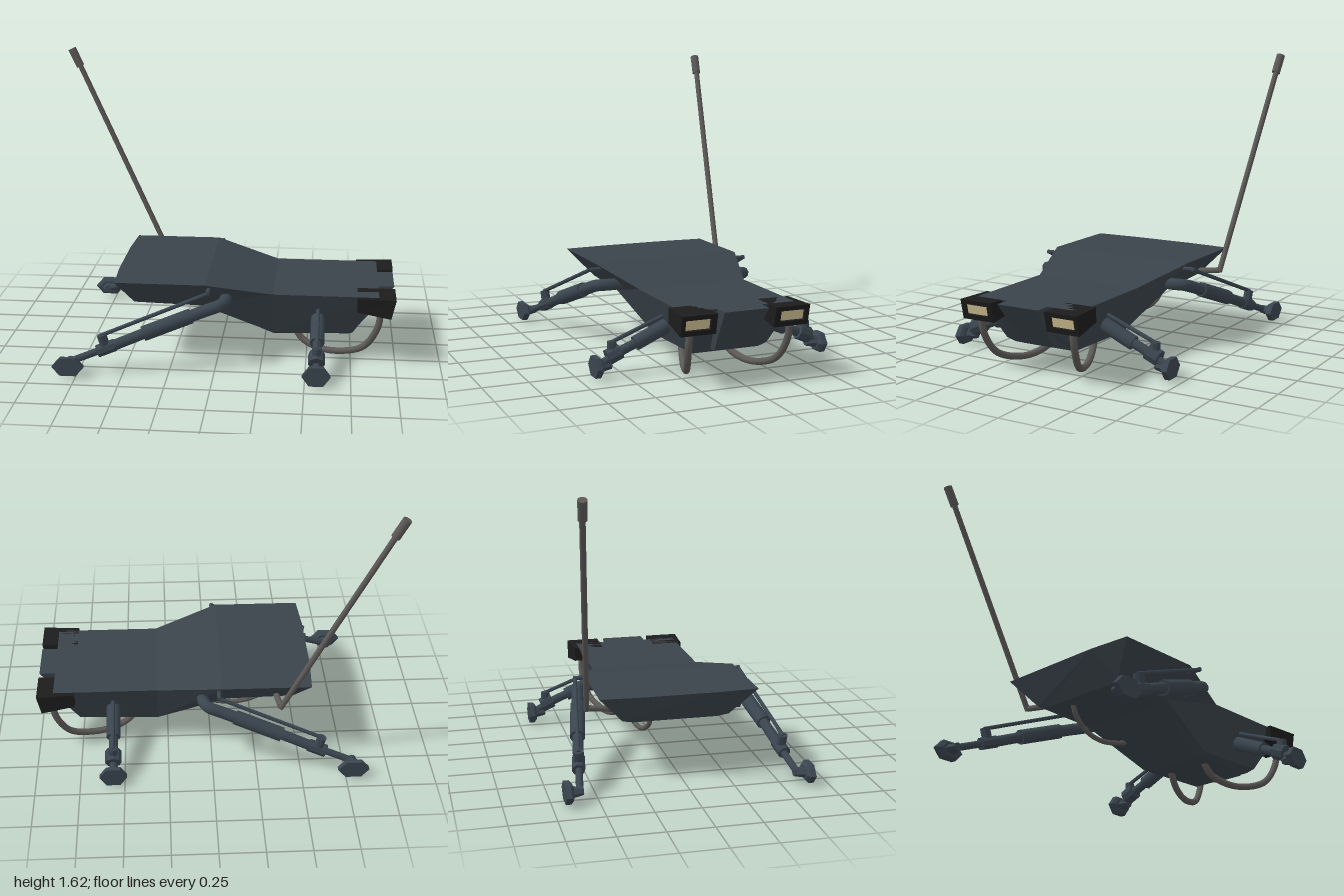
import * as THREE from 'three';
import { ConvexGeometry } from 'three/addons/geometries/ConvexGeometry.js';

const V = (p) => new THREE.Vector3(...p);
const mat = (color, flatShading = false) => new THREE.MeshStandardMaterial({ color, flatShading });
const HULL = mat(0x3a434a, true);
const STEEL = mat(0x3a454f);
const STEEL_FLAT = mat(0x3a454f, true);
const CABLE = mat(0x5c5957);
const BLACK = mat(0x1c1c1c, true);
const LENS = mat(0xd2c193);

function add(parent, name, geometry, material) {
  const mesh = new THREE.Mesh(geometry, material);
  mesh.name = name;
  parent.add(mesh);
  return mesh;
}

// Cylinder running from point a to point b
function rod(parent, name, a, b, r, material = STEEL, sides = 12, r2 = r) {
  const from = V(a), to = V(b), dir = to.clone().sub(from);
  const mesh = add(parent, name, new THREE.CylinderGeometry(r2, r, dir.length(), sides), material);
  mesh.position.copy(from).add(to).multiplyScalar(0.5);
  mesh.quaternion.setFromUnitVectors(new THREE.Vector3(0, 1, 0), dir.normalize());
  return mesh;
}

function tube(parent, name, points, r, material) {
  const curve = new THREE.CatmullRomCurve3(points.map(V));
  return add(parent, name, new THREE.TubeGeometry(curve, 32, r, 10), material);
}

// Hull lofted through four rings: each has top, lower and bottom [x, y, half width]
function hullGeometry() {
  const stations = [
    [[-0.562, 0.48, 0.443], [-0.475, 0.32, 0.3], [-0.46, 0.305, 0.24]],
    [[-0.06, 0.48, 0.443], [-0.09, 0.31, 0.3], [-0.09, 0.295, 0.24]],
    [[0.31, 0.395, 0.32], [0.31, 0.135, 0.23], [0.31, 0.115, 0.19]],
    [[0.9, 0.395, 0.32], [0.76, 0.15, 0.23], [0.74, 0.128, 0.19]],
  ];
  const rings = stations.map(([t, l, b], i) => {
    const bow = i === 0 ? 0.014 : 0;
    const half = [[t[0] - bow, t[1], 0.2], t, l, b];
    return [...half, ...half.map(([x, y, z]) => [x, y, -z]).reverse()];
  });
  const n = rings[0].length, index = [];
  for (let i = 0; i < rings.length - 1; i++) {
    for (let j = 0; j < n; j++) {
      const a = i * n + j, b = i * n + (j + 1) % n;
      index.push(a, b, a + n, b, b + n, a + n);
    }
  }
  const last = (rings.length - 1) * n;
  for (let j = 1; j < n - 1; j++) {
    index.push(0, j + 1, j, last, last + j, last + j + 1);
  }
  const g = new THREE.BufferGeometry();
  g.setAttribute('position', new THREE.Float32BufferAttribute(rings.flat(2), 3));
  // Rings run clockwise seen from the nose, so turn the faces outward
  for (let k = 0; k < index.length; k += 3) [index[k + 1], index[k + 2]] = [index[k + 2], index[k + 1]];
  g.setIndex(index);
  orientOutward(g);
  g.computeVertexNormals();
  return g;
}

// Flip any face that points towards the hull's middle line
function orientOutward(g) {
  const p = g.attributes.position, idx = g.index.array;
  const at = (i) => new THREE.Vector3().fromBufferAttribute(p, i);
  for (let k = 0; k < idx.length; k += 3) {
    const [a, b, c] = [at(idx[k]), at(idx[k + 1]), at(idx[k + 2])];
    const normal = b.clone().sub(a).cross(c.clone().sub(a));
    const centre = a.add(b).add(c).divideScalar(3);
    const coreX = THREE.MathUtils.clamp(centre.x, -0.3, 0.6);
    const coreY = coreX < 0 ? 0.4 : 0.4 - Math.min(coreX, 0.31) * 0.42;
    if (normal.dot(centre.sub(new THREE.Vector3(coreX, coreY, 0))) < 0) {
      [idx[k + 1], idx[k + 2]] = [idx[k + 2], idx[k + 1]];
    }
  }
}

// Lamp housing: rectangular frame extruded forward and flared towards the front
function addLamp(side) {
  const rect = (Type, x0, x1, y0, y1) => new Type([[x0, y0], [x1, y0], [x1, y1], [x0, y1]]
    .map(([x, y]) => new THREE.Vector2(x, y)));
  const shape = rect(THREE.Shape, -0.362, -0.165, 0.285, 0.395);
  shape.holes.push(rect(THREE.Path, -0.338, -0.198, 0.312, 0.37));
  const g = new THREE.ExtrudeGeometry(shape, { depth: 1, bevelEnabled: false });
  const p = g.attributes.position;
  for (let i = 0; i < p.count; i++) {
    const t = p.getZ(i), drop = 0.395 - p.getY(i), z = -p.getX(i);
    p.setXYZ(i, 0.78 + t * (0.213 - 0.23 * drop), 0.395 - drop * (0.73 + 0.27 * t), 0.165 + (z - 0.165) * (0.92 + 0.08 * t));
  }
  g.computeVertexNormals();
  add(side, 'lampHousing', g, BLACK);
  const core = add(side, 'lampCore', new THREE.BoxGeometry(0.16, 0.062, 0.142), BLACK);
  core.position.set(0.865, 0.345, 0.263);
  const lens = add(side, 'lampLens', new THREE.BoxGeometry(0.012, 0.06, 0.142), LENS);
  lens.position.set(0.958, 0.341, 0.268);
  lens.rotation.z = -0.22;
}

// Stretched hexagonal foot pad facing outward, with a tapered hub
function addFoot(side, x, y, rx, ry, outer) {
  const foot = new THREE.Group();
  foot.name = 'foot';
  foot.position.set(x, y, outer);
  foot.scale.set(rx, ry / 0.866, 1);
  for (const [r1, r2, z0, z1] of [[0.72, 1, -0.045, -0.03], [1, 1, -0.03, 0], [0.32, 0.5, -0.1, -0.045]]) {
    const g = new THREE.CylinderGeometry(r2, r1, z1 - z0, 6);
    g.rotateY(Math.PI / 2).rotateX(Math.PI / 2);
    add(foot, 'footPad', g, STEEL_FLAT).position.z = (z0 + z1) / 2;
  }
  side.add(foot);
}

function addRearLeg(side) {
  tube(side, 'rearLegElbow', [[0.045, 0.375, 0.3], [0.047, 0.375, 0.41], [0.02, 0.37, 0.458], [-0.06, 0.343, 0.476], [-0.2, 0.291, 0.501]], 0.034, STEEL);
  rod(side, 'rearLegSleeve', [-0.13, 0.318, 0.488], [-0.39, 0.222, 0.534], 0.042);
  rod(side, 'rearLegPiston', [-0.38, 0.226, 0.532], [-0.55, 0.158, 0.558], 0.03);
  rod(side, 'rearLegShin', [-0.54, 0.162, 0.556], [-0.78, 0.072, 0.592], 0.02);
  rod(side, 'rearKnuckle', [-0.545, 0.16, 0.557], [-0.64, 0.125, 0.573], 0.036, STEEL_FLAT, 8);
  rod(side, 'rearKnuckleLug', [-0.595, 0.145, 0.566], [-0.615, 0.222, 0.57], 0.028, STEEL_FLAT, 8);
  rod(side, 'rearBraceMount', [-0.04, 0.45, 0.38], [-0.04, 0.45, 0.495], 0.012);
  rod(side, 'rearBrace', [-0.03, 0.452, 0.485], [-0.62, 0.218, 0.57], 0.011);
  rod(side, 'rearAnkle', [-0.79, 0.07, 0.575], [-0.79, 0.068, 0.65], 0.024);
  addFoot(side, -0.79, 0.066, 0.088, 0.05, 0.675);
}

function addFrontLeg(side) {
  const x = 0.563;
  rod(side, 'frontLegSleeve', [x, 0.255, 0.24], [x, 0.165, 0.445], 0.04);
  rod(side, 'frontLegPiston', [x, 0.17, 0.435], [x, 0.118, 0.56], 0.026);
  rod(side, 'frontLegShin', [x, 0.12, 0.55], [x, 0.064, 0.655], 0.022);
  rod(side, 'frontKnuckle', [x, 0.135, 0.53], [x, 0.105, 0.6], 0.046, STEEL_FLAT, 8);
  rod(side, 'frontKnuckleLug', [x, 0.12, 0.575], [x, 0.19, 0.575], 0.026, STEEL_FLAT, 8);
  rod(side, 'frontBrace', [x, 0.305, 0.27], [x, 0.185, 0.58], 0.011);
  addFoot(side, x, 0.063, 0.077, 0.053, 0.68);
}

export function createModel() {
  const model = new THREE.Group();
  model.name = 'walker';
  model.position.z = -0.008;

  // Hull with projecting nose wedge
  add(model, 'hull', hullGeometry(), HULL);
  const nose = [];
  for (const s of [-1, 1]) {
    nose.push(V([0.99, 0.395, s * 0.127]), V([0.8, 0.148, s * 0.095]), V([0.72, 0.148, s * 0.095]), V([0.85, 0.395, s * 0.127]));
  }
  add(model, 'nose', new ConvexGeometry(nose), HULL);

  // Mirrored legs, lamps and lamp cables
  for (const s of [1, -1]) {
    const side = new THREE.Group();
    side.name = s > 0 ? 'nearSide' : 'farSide';
    side.scale.z = s;
    addRearLeg(side);
    addFrontLeg(side);
    addLamp(side);
    tube(side, 'lampCable', [[0.915, 0.32, 0.285], [0.895, 0.2, 0.285], [0.82, 0.08, 0.26], [0.69, 0.028, 0.21], [0.57, 0.027, 0.17], [0.47, 0.07, 0.135], [0.42, 0.15, 0.12]], 0.019, CABLE);
    model.add(side);
  }

  // Belly cable
  tube(model, 'bellyCable', [[-0.39, 0.33, -0.12], [-0.35, 0.25, -0.125], [-0.25, 0.193, -0.14], [-0.13, 0.177, -0.15], [0, 0.2, -0.16], [0.11, 0.235, -0.165]], 0.014, CABLE);

  // Antenna on the far rear flank
  rod(model, 'antennaMount', [-0.37, 0.36, -0.32], [-0.385, 0.38, -0.48], 0.017, CABLE);
  rod(model, 'antennaRod', [-0.385, 0.37, -0.482], [-0.935, 1.53, -0.585], 0.016, CABLE);
  rod(model, 'antennaTip', [-0.926, 1.51, -0.582], [-0.978, 1.615, -0.591], 0.025, CABLE);
  return model;
}
